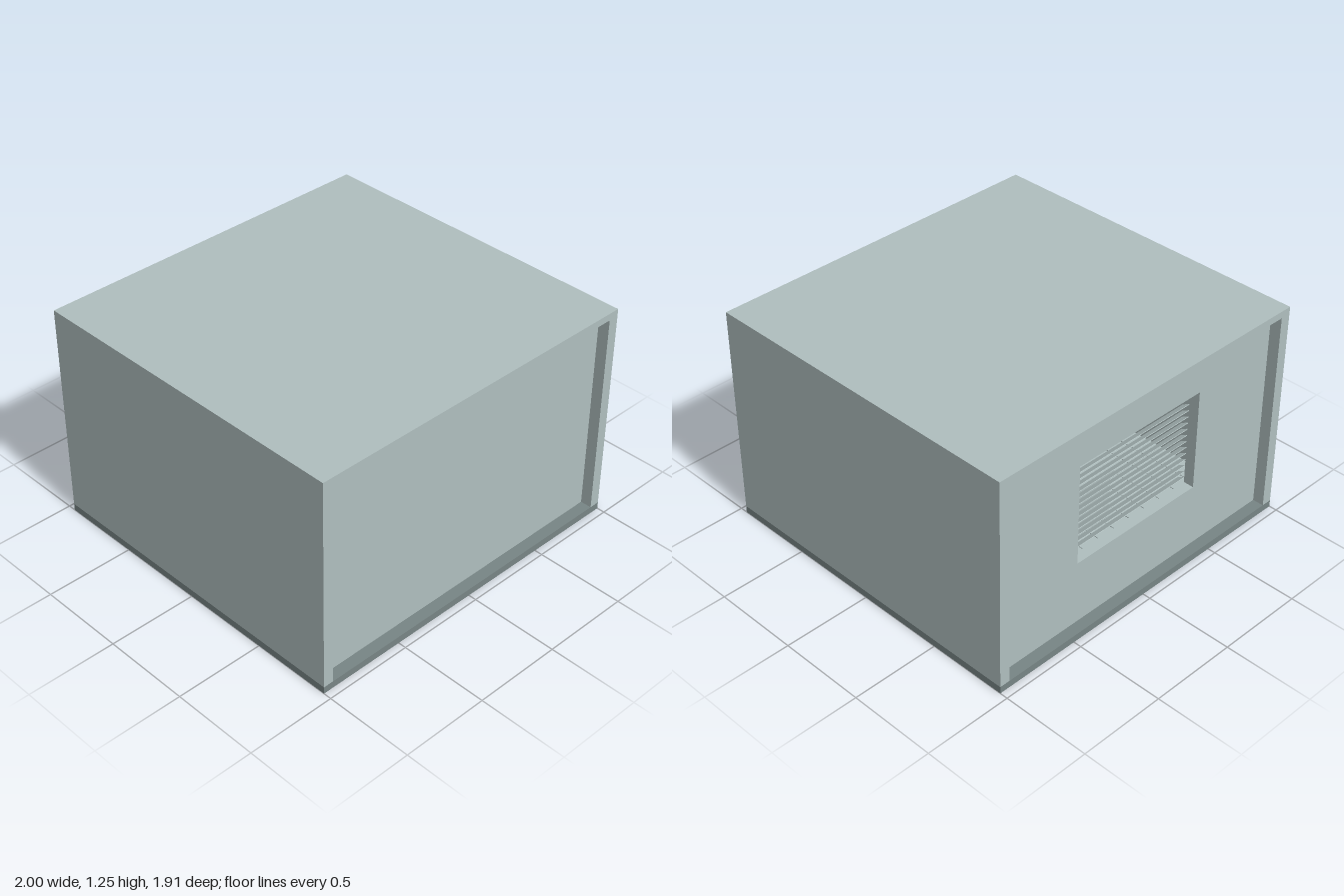
import * as THREE from 'three';
import { mergeGeometries } from 'three/addons/utils/BufferGeometryUtils.js';

const wallMat = new THREE.MeshStandardMaterial({ color: 0xb0bfbf });
wallMat.name = 'paleGreyGreen';
const baseMat = new THREE.MeshStandardMaterial({ color: 0x788686 });
baseMat.name = 'slateGrey';

// box geometry given by its min and max on each axis
function span(x0, x1, y0, y1, z0, z1) {
  return new THREE.BoxGeometry(x1 - x0, y1 - y0, z1 - z0)
    .translate((x0 + x1) / 2, (y0 + y1) / 2, (z0 + z1) / 2);
}

export function createModel() {
  const group = new THREE.Group();
  const add = (name, geometry, material = wallMat) => {
    const mesh = new THREE.Mesh(geometry, material);
    mesh.name = name;
    group.add(mesh);
    return mesh;
  };
  const D = 0.955;

  // shell: floor slab, roof and two full-depth side walls
  add('floorSlab', span(-1, 1, 0, 0.04, -D, D), baseMat);
  add('roof', span(-1, 1, 1.21, 1.25, -D, D));
  add('leftWall', span(0.94, 1, 0.04, 1.21, -D, D));
  add('rightWall', span(-1, -0.94, 0.04, 1.21, -D, D));

  // recessed front wall, and back wall with a window opening
  add('frontWall', span(-0.94, 0.94, 0.04, 1.21, 0.83, 0.89));
  const wall = new THREE.Shape([[-0.94, 0.04], [0.94, 0.04], [0.94, 1.21], [-0.94, 1.21]]
    .map(p => new THREE.Vector2(...p)));
  wall.holes.push(new THREE.Path([[-0.42, 0.41], [-0.42, 0.99], [0.42, 0.99], [0.42, 0.41]]
    .map(p => new THREE.Vector2(...p))));
  add('backWall', new THREE.ExtrudeGeometry(wall, { depth: 0.06, bevelEnabled: false })
    .translate(0, 0, -0.89));

  // window blind: slats sloping down into the room
  const slats = [];
  for (let i = 0; i < 16; i++) {
    slats.push(new THREE.BoxGeometry(0.86, 0.003, 0.048)
      .rotateX(Math.PI / 6).translate(0, 0.42 + i * 0.0375, -0.803));
  }
  add('blindSlats', mergeGeometries(slats));
  add('blindRail', span(-0.43, 0.43, 1.0, 1.03, -0.83, -0.78));

  // floor tiles
  const tiles = [];
  for (let i = 0; i < 16; i++) {
    for (let j = 0; j < 14; j++) {
      const x = -0.94 + i * 0.1175, z = -0.83 + j * 0.1185;
      tiles.push(span(x + 0.002, x + 0.1155, 0.04, 0.046, z + 0.002, z + 0.1165));
    }
  }
  add('floorTiles', mergeGeometries(tiles));

  // bookcase along the left wall
  const shelves = [span(0.925, 0.94, 0.04, 0.86, -0.06, 0.57)];
  for (const z of [-0.06, 0.25, 0.555]) shelves.push(span(0.8, 0.93, 0.04, 0.86, z, z + 0.015));
  for (let i = 0; i < 5; i++) {
    shelves.push(span(0.8, 0.93, 0.046 + i * 0.2, 0.06 + i * 0.2, -0.06, 0.57));
  }
  add('bookcase', mergeGeometries(shelves));
  const books = [];
  for (let row = 0; row < 4; row++) {
    for (let i = 0; i < 15; i++) {
      const z = -0.04 + i * 0.039;
      if (i === 7) continue;
      const y = 0.06 + row * 0.2, h = 0.11 + 0.02 * ((i * 3 + row * 2) % 4);
      books.push(span(0.825, 0.92, y, y + h, z, z + 0.03));
    }
  }
  add('books', mergeGeometries(books));

  // desk with drawers and papers
  add('desk', mergeGeometries([
    span(-0.3, 0.6, 0.335, 0.36, -0.47, -0.07),
    span(0.45, 0.59, 0.046, 0.335, -0.45, -0.09),
    span(-0.29, -0.04, 0.046, 0.335, -0.45, -0.09),
  ]));
  const drawers = [];
  for (let i = 0; i < 3; i++) {
    drawers.push(span(-0.28, -0.05, 0.06 + i * 0.09, 0.14 + i * 0.09, -0.458, -0.449));
  }
  add('drawerFronts', mergeGeometries(drawers));
  add('papers', mergeGeometries([
    span(0.22, 0.34, 0.36, 0.366, -0.36, -0.26),
    span(0.06, 0.17, 0.36, 0.366, -0.32, -0.2),
  ]));
  return group;
}
